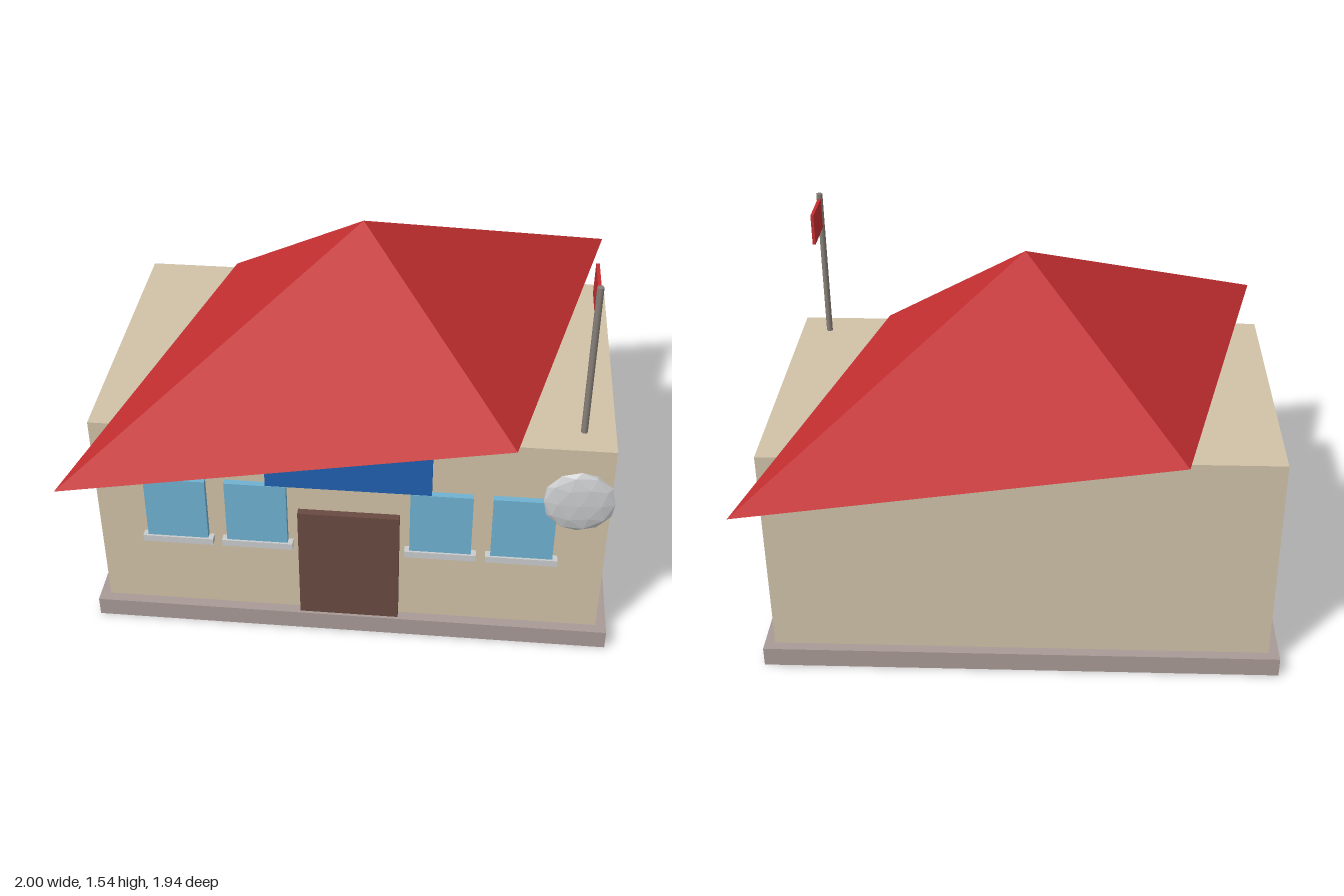
import * as THREE from 'three';

const mat = (name, color) => {
  const m = new THREE.MeshStandardMaterial({ color });
  m.name = name;
  return m;
};

export function createModel() {
  const model = new THREE.Group();
  model.name = 'building';
  const sand = mat('sand wall', 0xd0c2a8);
  const stone = mat('stone', 0xa89a96);
  const red = mat('red', 0xc62f31);
  const blue = mat('blue', 0x1f60b0);
  const glass = mat('window blue', 0x6fb1d0);
  const brown = mat('door brown', 0x694a41);
  const silver = mat('silver', 0xcacbcd);
  const metal = mat('pole grey', 0x888079);

  const add = (name, geometry, material, x, y, z) => {
    const mesh = new THREE.Mesh(geometry, material);
    mesh.name = name;
    mesh.position.set(x, y, z);
    model.add(mesh);
    return mesh;
  };
  // Box given by its limits on each axis
  const box = (name, material, [x0, x1], [y0, y1], [z0, z1]) =>
    add(name, new THREE.BoxGeometry(x1 - x0, y1 - y0, z1 - z0), material,
      (x0 + x1) / 2, (y0 + y1) / 2, (z0 + z1) / 2);

  // Body and plinth; the body reaches just below the plinth's underside
  box('walls', sand, [-0.96, 0.96], [0, 0.93], [-0.575, 0.575]);
  box('plinth', stone, [-1, 1], [0.002, 0.08], [-0.615, 0.615]);

  // Skewed pyramid roof: a four-sided cone stretched along one diagonal
  const roofGeo = new THREE.ConeGeometry(1, 0.57, 4, 1).toNonIndexed();
  roofGeo.scale(1.375, 1, 0.857);
  roofGeo.rotateY(Math.PI / 4);
  roofGeo.computeVertexNormals();
  add('roof', roofGeo, red, 0, 1.215, 0);

  // Door and sign board
  box('door', brown, [-0.193, 0.19], [0.08, 0.58], [0.57, 0.604]);
  box('signBoard', blue, [-0.31, 0.307], [0.705, 0.88], [0.57, 0.604]);

  // Windows with sills
  for (const x of [-0.655, -0.35, 0.345, 0.65]) {
    box('window', glass, [x - 0.116, x + 0.116], [0.42, 0.7], [0.57, 0.6]);
    box('windowSill', silver, [x - 0.135, x + 0.135], [0.4, 0.428], [0.57, 0.608]);
  }

  // Faceted flat dish, with one vertex pointing up
  const dishGeo = new THREE.IcosahedronGeometry(0.135, 1);
  dishGeo.rotateZ(Math.atan(2 / (1 + Math.sqrt(5))));
  dishGeo.scale(1, 1, 0.21);
  dishGeo.computeVertexNormals();
  add('dish', dishGeo, silver, 0.842, 0.714, 0.598);

  // Flagpole and flag
  add('flagpole', new THREE.CylinderGeometry(0.0125, 0.0125, 0.62, 8), metal, 0.845, 1.23, 0.46);
  box('flag', red, [0.839, 0.851], [1.4, 1.522], [0.27, 0.455]);

  return model;
}
